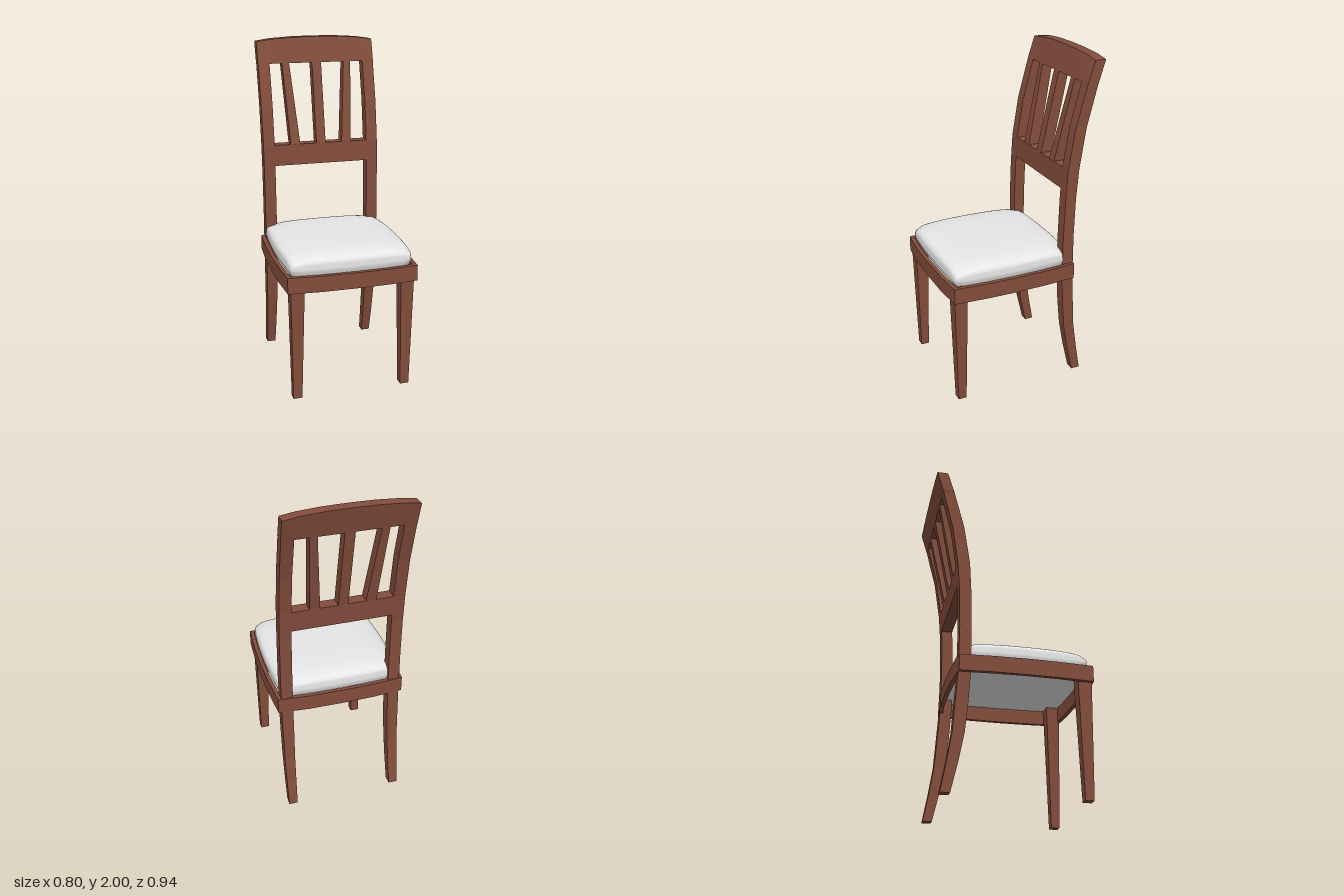
import * as THREE from 'three';

const wood = new THREE.MeshStandardMaterial({ color: 0x834d3c });
wood.name = 'brownWood';
const fabric = new THREE.MeshStandardMaterial({ color: 0xe6e6e6 });
fabric.name = 'whiteFabric';

// Faceted solid through a row of four-cornered sections
function loft(sections) {
  const pos = [];
  const quad = (a, b, c, d) => [a, b, c, a, c, d].forEach((p) => pos.push(...p));
  for (let i = 0; i < sections.length - 1; i++) {
    const s = sections[i], t = sections[i + 1];
    for (let k = 0; k < 4; k++) {
      const n = (k + 1) % 4;
      quad(s[k], s[n], t[n], t[k]);
    }
  }
  const first = sections[0];
  quad(first[3], first[2], first[1], first[0]);
  quad(...sections[sections.length - 1]);
  const geo = new THREE.BufferGeometry();
  geo.setAttribute('position', new THREE.Float32BufferAttribute(pos, 3));
  geo.computeVertexNormals();
  return geo;
}

// Upright bar from rows of [y, x min, x max, z back, z front]
const upright = (rows) => loft(rows.map(([y, x0, x1, zb, zf]) =>
  [[x1, y, zf], [x1, y, zb], [x0, y, zb], [x0, y, zf]]));

const mirrorRows = (rows) => rows.map(([y, x0, x1, zb, zf]) => [y, -x1, -x0, zb, zf]);

const CZ = 0.068; // seat centre in z

// Bowed seat outline around a centre height in the 2D plane
function seatOutline(scale, cy) {
  const quarter = [[0.402, 0], [0.398, 0.18], [0.385, 0.383], [0.2, 0.399], [0, 0.402]];
  const pts = [];
  const add = (x, y) => pts.push(new THREE.Vector2(x * scale, y * scale + cy));
  quarter.forEach(([x, y]) => add(x, y));
  quarter.slice(0, -1).reverse().forEach(([x, y]) => add(-x, y));
  quarter.slice(1).forEach(([x, y]) => add(-x, -y));
  quarter.slice(1, -1).reverse().forEach(([x, y]) => add(x, -y));
  return pts;
}

// Cushion skin: bowed square rings of [scale, side height]; the crown domes both ways
function cushionGeometry() {
  const rings = [[0.975, 0.762], [0.985, 0.775], [1, 0.79], [1, 0.8]];
  [0.997, 0.99, 0.975, 0.95, 0.91, 0.85, 0.75, 0.6, 0.4, 0.2].forEach((s) => rings.push([s]));
  const dome = (t) => Math.pow(1 - t ** 4, 0.25);
  const N = 96, P = 30, pos = [], idx = [];
  rings.forEach(([scale, side]) => {
    for (let i = 0; i < N; i++) {
      const a = (i / N) * Math.PI * 2, c = Math.cos(a), s = Math.sin(a);
      const r = Math.pow(Math.abs(c) ** P + Math.abs(s) ** P, -1 / P);
      const m = scale / Math.max(Math.abs(c), Math.abs(s));
      const u = c * r, v = s * r;
      const y = side ?? 0.8 + 0.086 * dome(c * m) * dome(s * m);
      pos.push(u * scale * (0.38 - 0.02 * v * v), y, CZ - v * scale * (0.378 - 0.014 * u * u));
    }
  });
  for (let j = 0; j < rings.length - 1; j++) {
    for (let i = 0; i < N; i++) {
      const a = j * N + i, b = j * N + (i + 1) % N;
      idx.push(a, b, b + N, a, b + N, a + N);
    }
  }
  const top = (rings.length - 1) * N;
  pos.push(0, 0.886, CZ);
  for (let i = 0; i < N; i++) idx.push(top + i, top + (i + 1) % N, top + N);
  const geo = new THREE.BufferGeometry();
  geo.setAttribute('position', new THREE.Float32BufferAttribute(pos, 3));
  geo.setIndex(idx);
  geo.computeVertexNormals();
  return geo;
}

export function createModel() {
  const model = new THREE.Group();
  model.name = 'diningChair';
  const add = (name, geo, mat = wood) => {
    const mesh = new THREE.Mesh(geo, mat);
    mesh.name = name;
    model.add(mesh);
    return mesh;
  };
  const addPair = (name, rows) => {
    add('left' + name, upright(rows));
    add('right' + name, upright(mirrorRows(rows)));
  };

  // Tapered front legs
  addPair('FrontLeg', [[0, 0.304, 0.357, 0.38, 0.43], [0.76, 0.285, 0.368, 0.363, 0.446]]);

  // Back legs and back posts in one curved piece
  addPair('BackPost', [
    [0, 0.304, 0.357, -0.396, -0.342],
    [0.17, 0.301, 0.36, -0.365, -0.303],
    [0.33, 0.299, 0.362, -0.34, -0.273],
    [0.5, 0.297, 0.364, -0.328, -0.257],
    [0.675, 0.296, 0.366, -0.316, -0.246],
    [0.95, 0.296, 0.366, -0.314, -0.246],
    [1.18, 0.296, 0.366, -0.32, -0.252],
    [1.36, 0.296, 0.366, -0.334, -0.262],
    [1.6, 0.296, 0.366, -0.37, -0.3],
    [1.85, 0.296, 0.366, -0.434, -0.367],
  ]);

  // Seat frame with an open middle
  const shape = new THREE.Shape(seatOutline(1, -CZ));
  shape.holes.push(new THREE.Path(seatOutline(0.94, -CZ).reverse()));
  const frame = new THREE.ExtrudeGeometry(shape, { depth: 0.095, bevelEnabled: false });
  frame.rotateX(-Math.PI / 2);
  add('seatFrame', frame).position.y = 0.673;

  // Cushion and its flat underside
  add('seatCushion', cushionGeometry(), fabric);
  const base = new THREE.ShapeGeometry(new THREE.Shape(seatOutline(0.94, CZ)));
  base.rotateX(Math.PI / 2);
  add('seatUnderside', base, fabric).position.y = 0.762;

  // Lower back rail
  add('lowerBackRail', upright([
    [1.232, -0.297, 0.297, -0.324, -0.255], [1.36, -0.297, 0.297, -0.334, -0.262]]));

  // Three back slats, the outer two fanned
  const slat = (a0, a1, b0, b1) => [[1.355, a0, a1, -0.333, -0.262], [1.85, b0, b1, -0.434, -0.369]];
  add('middleSlat', upright(slat(-0.029, 0.029, -0.029, 0.029)));
  addPair('Slat', slat(0.133, 0.193, 0.174, 0.218));

  // Crest rail with a gently arched top, leaning back
  const crest = [[-0.367, 1.976], [-0.28, 1.989], [-0.14, 1.998], [0, 2],
    [0.14, 1.998], [0.28, 1.989], [0.367, 1.976]];
  add('crestRail', loft(crest.map(([x, y]) => [
    [x, 1.846, -0.433], [x, y, -0.473], [x, y, -0.408], [x, 1.846, -0.366]])));

  return model;
}
